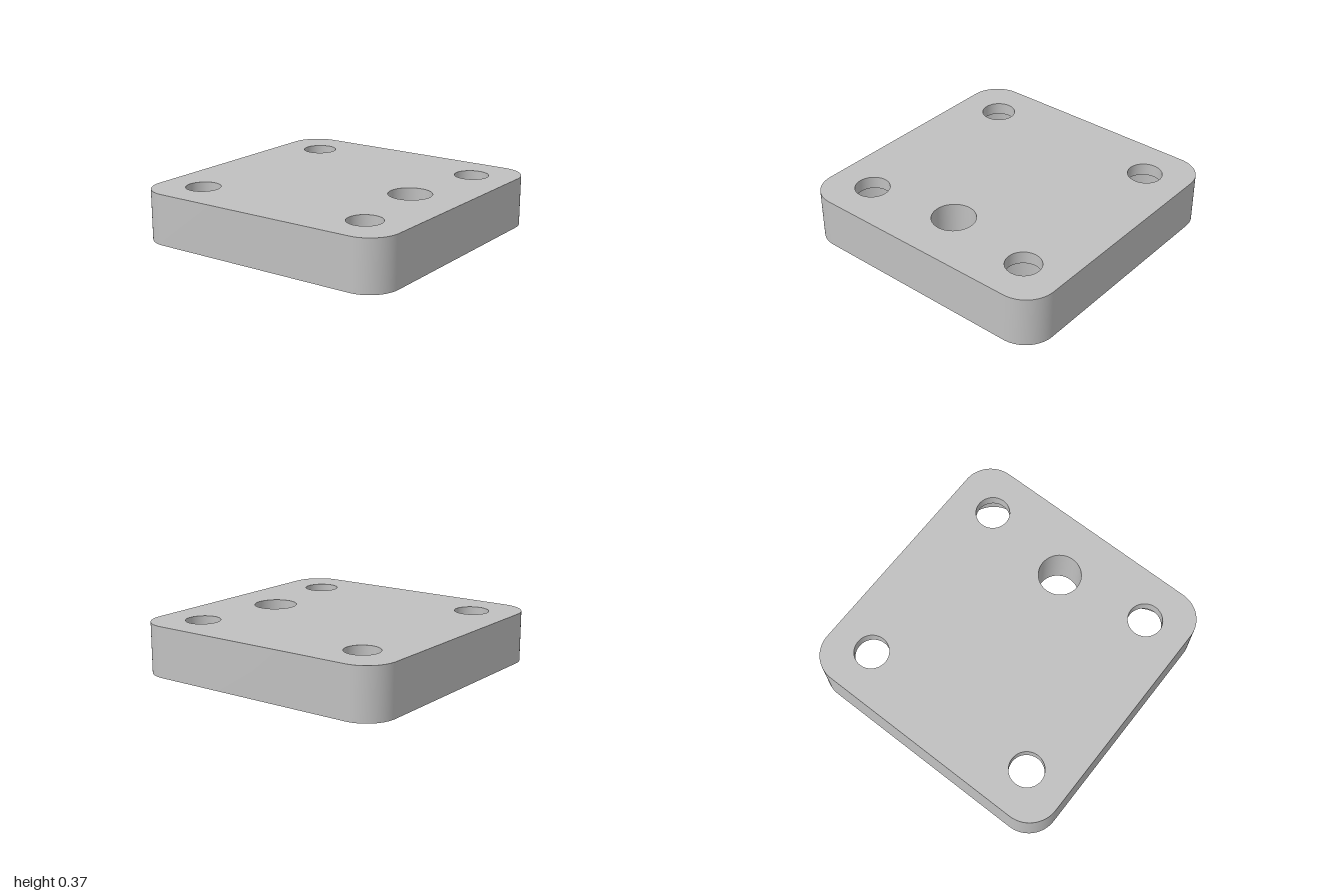
import * as THREE from 'three';
import { mergeGeometries, toCreasedNormals } from 'three/addons/utils/BufferGeometryUtils.js';

const HEIGHT = 0.365, LEDGE = 0.275; // plate thickness, counterbore depth from below
const CORNER = 0.22, HOLE_AT = 0.68;
const SMALL_R = 0.123, BORE_R = 0.233, CENTRE_R = 0.153;

// Counter-clockwise circle or arc as a list of points
function arc(cx, cy, r, from, sweep, n) {
  return Array.from({ length: n }, (_, i) => {
    const a = from + (sweep * i) / n;
    return new THREE.Vector2(cx + r * Math.cos(a), cy + r * Math.sin(a));
  });
}
const circle = (cx, cy, r) => arc(cx, cy, r, 0, Math.PI * 2, 64);

// Upright wall along a closed loop; counter-clockwise loops face outwards
function wall(loop, y0, y1) {
  const pos = [];
  loop.forEach((a, i) => {
    const b = loop[(i + 1) % loop.length];
    pos.push(a.x, a.y, y0, b.x, b.y, y0, b.x, b.y, y1);
    pos.push(a.x, a.y, y0, b.x, b.y, y1, a.x, a.y, y1);
  });
  return new THREE.BufferGeometry().setAttribute('position', new THREE.Float32BufferAttribute(pos, 3));
}
const holeWall = (loop, y0, y1) => wall([...loop].reverse(), y0, y1);

// Flat face with holes at height y, facing up or down
function face(loop, holes, y, down) {
  const shape = new THREE.Shape(loop);
  shape.holes = holes.map((h) => new THREE.Path(h));
  const g = new THREE.ShapeGeometry(shape).toNonIndexed();
  const p = g.attributes.position, pos = [];
  for (let i = 0; i < p.count; i++) {
    const k = down ? p.count - 1 - i : i;
    pos.push(p.getX(k), p.getY(k), y);
  }
  return new THREE.BufferGeometry().setAttribute('position', new THREE.Float32BufferAttribute(pos, 3));
}

export function createModel() {
  const grey = new THREE.MeshStandardMaterial({ color: 0xc0c0c0 });
  grey.name = 'plain grey';
  const group = new THREE.Group();
  group.name = 'mountingPlate';

  const add = (name, parts) => {
    const merged = mergeGeometries(parts).rotateX(-Math.PI / 2);
    const mesh = new THREE.Mesh(toCreasedNormals(merged, 0.6), grey);
    mesh.name = name;
    group.add(mesh);
  };

  // Rounded square outline
  const c = 1 - CORNER, outline = [];
  [[c, c], [-c, c], [-c, -c], [c, -c]].forEach(([x, y], i) => {
    const start = (i * Math.PI) / 2;
    outline.push(...arc(x, y, CORNER, start, Math.PI / 2, 20));
    outline.push(new THREE.Vector2(
      x + CORNER * Math.cos(start + Math.PI / 2), y + CORNER * Math.sin(start + Math.PI / 2)));
  });

  const spots = [[1, 1], [-1, 1], [-1, -1], [1, -1]].map(([x, y]) => [x * HOLE_AT, y * HOLE_AT]);
  const small = spots.map(([x, y]) => circle(x, y, SMALL_R));
  const bores = spots.map(([x, y]) => circle(x, y, BORE_R));
  const centre = circle(0, -0.587, CENTRE_R);

  // Plate: outer wall, top and underside
  add('plateBody', [
    wall(outline, 0, HEIGHT),
    face(outline, [...small, centre], HEIGHT, false),
    face(outline, [...bores, centre], 0, true),
  ]);

  // Stepped corner holes, wide below and narrow above
  spots.forEach((_, i) => add('counterboredHole' + (i + 1), [
    holeWall(bores[i], 0, LEDGE),
    face(bores[i], [small[i]], LEDGE, true),
    holeWall(small[i], LEDGE, HEIGHT),
  ]));

  // Straight hole near the front edge
  add('frontHole', [holeWall(centre, 0, HEIGHT)]);
  return group;
}
